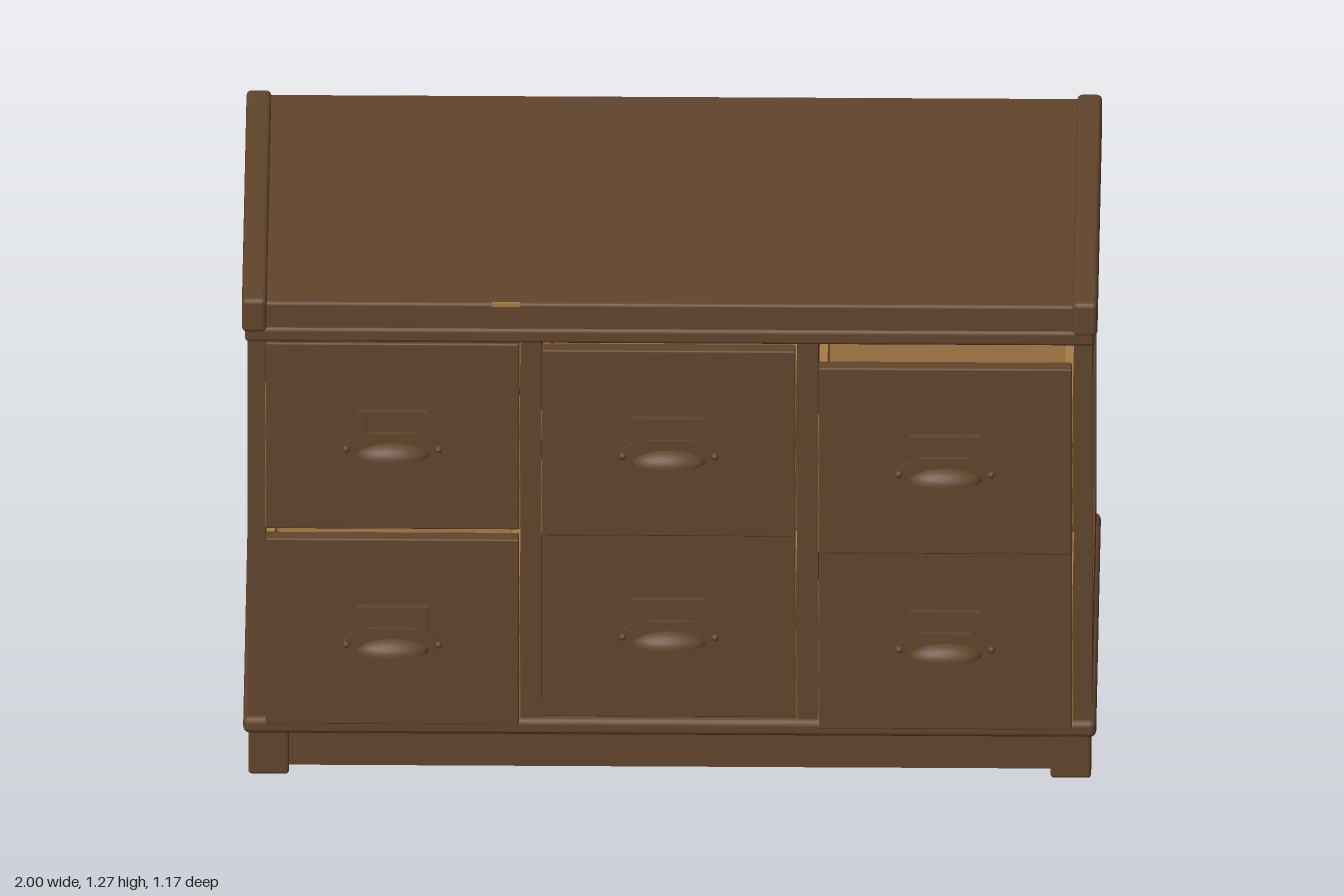
import * as THREE from 'three';
import { RoundedBoxGeometry } from 'three/addons/geometries/RoundedBoxGeometry.js';

const mat = (name, color, side = THREE.FrontSide) => {
  const m = new THREE.MeshStandardMaterial({ color, side });
  m.name = name;
  return m;
};

export function createModel() {
  const wood = mat('brown wood', 0x63462d, THREE.DoubleSide);
  const bare = mat('bare tan wood', 0xa87c45);
  const dark = mat('dark lining', 0x2a2612);
  const root = new THREE.Group();
  root.name = 'drawerCabinet';

  const add = (parent, name, geo, material) => {
    const mesh = new THREE.Mesh(geo, material);
    mesh.name = name;
    parent.add(mesh);
    return mesh;
  };
  // box given by its limits, optionally with rounded edges
  const box = (parent, name, [x0, x1], [y0, y1], [z0, z1], material = wood, r = 0) => {
    const s = [x1 - x0, y1 - y0, z1 - z0];
    const geo = r ? new RoundedBoxGeometry(...s, 2, r) : new THREE.BoxGeometry(...s);
    geo.translate((x0 + x1) / 2, (y0 + y1) / 2, (z0 + z1) / 2);
    return add(parent, name, geo, material);
  };
  // outline in (z, y) extruded from x0 to x1
  const slabX = (parent, name, shape, x0, x1, material) => {
    const geo = new THREE.ExtrudeGeometry(shape, { depth: x1 - x0, bevelEnabled: false });
    geo.rotateY(-Math.PI / 2);
    geo.translate(x1, 0, 0);
    return add(parent, name, geo, material);
  };
  const rect = (Type, a0, a1, b0, b1) => new Type([
    new THREE.Vector2(a0, b0), new THREE.Vector2(a1, b0),
    new THREE.Vector2(a1, b1), new THREE.Vector2(a0, b1)]);
  const mirrored = (s, a, b) => (s > 0 ? [a, b] : [-b, -a]);

  // plinth: feet, recessed skirt and base moulding
  for (const s of [-1, 1]) {
    box(root, 'footFront', mirrored(s, 0.89, 0.985), [0, 0.12], [0.335, 0.43], wood, 0.008);
    box(root, 'footBack', mirrored(s, 0.89, 0.985), [0, 0.12], [-0.575, -0.48], wood, 0.008);
    box(root, 'skirtSide', mirrored(s, 0.94, 0.972), [0.02, 0.12], [-0.49, 0.345]);
  }
  box(root, 'skirtFront', [-0.9, 0.9], [0.02, 0.12], [0.385, 0.417]);
  box(root, 'skirtBack', [-0.9, 0.9], [0.02, 0.12], [-0.562, -0.53]);
  box(root, 'baseMoulding', [-0.997, 0.997], [0.113, 0.157], [-0.583, 0.442], wood, 0.015);

  // carcass: framed sides with a sunken panel, back, dividers, shelf
  for (const s of [-1, 1]) {
    const frame = rect(THREE.Shape, -0.575, 0.43, 0.15, 1.165);
    frame.holes.push(rect(THREE.Path, -0.4, 0.265, 0.32, 0.99));
    slabX(root, 'sideFrame', frame, ...mirrored(s, 0.975, 0.987), wood);
    box(root, 'sidePanel', mirrored(s, 0.945, 0.976), [0.15, 1.165], [-0.57, 0.428]);
    box(root, 'divider', mirrored(s, 0.3, 0.347), [0.15, 1.165], [-0.56, 0.43]);
  }
  box(root, 'backPanel', [-0.98, 0.98], [0.15, 1.165], [-0.575, -0.55]);
  box(root, 'middleShelf', [-0.95, 0.95], [0.654, 0.661], [-0.56, 0.42]);

  // top: lip, slab, raised end rails, a worn chip on the front edge
  box(root, 'topLip', [-0.993, 0.993], [1.158, 1.197], [-0.577, 0.438], wood, 0.01);
  box(root, 'topSlab', [-0.95, 0.95], [1.19, 1.262], [-0.577, 0.432], wood, 0.008);
  for (const s of [-1, 1])
    box(root, 'endRail', mirrored(s, 0.942, 1), [1.185, 1.274], [-0.58, 0.442], wood, 0.012);
  box(root, 'wornChip', [-0.415, -0.35], [1.254, 1.263], [0.425, 0.433], bare);

  // label holder and cup pull, built on the plane z = 0
  const hardware = () => {
    const g = new THREE.Group();
    g.name = 'handle';
    const holder = rect(THREE.Shape, -0.083, 0.083, 0.248, 0.32);
    holder.holes.push(rect(THREE.Path, -0.06, 0.06, 0.262, 0.308));
    add(g, 'labelFrame', new THREE.ExtrudeGeometry(holder, { depth: 0.013, bevelEnabled: false }), wood);
    box(g, 'labelCard', [-0.062, 0.062], [0.26, 0.31], [0, 0.005]);
    const plate = new THREE.Shape([[-0.115, 0.21], [0.115, 0.21], [0.115, 0.228],
      [0.088, 0.25], [-0.088, 0.25], [-0.115, 0.228]].map(p => new THREE.Vector2(...p)));
    add(g, 'backPlate', new THREE.ExtrudeGeometry(plate, { depth: 0.008, bevelEnabled: false }), wood);
    const cup = new THREE.SphereGeometry(1, 20, 6, 0, Math.PI, 0, Math.PI / 2);
    cup.scale(0.085, 0.036, 0.04);
    cup.translate(0, 0.198, 0);
    add(g, 'cupPull', cup, wood);
    for (const s of [-1, 1]) {
      const screw = new THREE.SphereGeometry(0.009, 10, 6);
      screw.translate(s * 0.108, 0.219, 0.009);
      add(g, 'screw', screw, wood);
    }
    return g;
  };

  // one drawer, its bottom at y = 0 and its front face at z = 0
  const drawer = (w) => {
    const g = new THREE.Group();
    g.name = 'drawer';
    const h = w / 2;
    box(g, 'drawerFront', [-h, h], [0, 0.495], [-0.037, 0], wood, 0.004);
    // side boards with a ragged worn front edge
    const side = new THREE.Shape();
    side.moveTo(-0.9, 0.002);
    const edge = [-0.006, -0.008, -0.012, -0.02, -0.014, -0.011, -0.022, -0.03, -0.016, -0.013, -0.02, -0.037];
    edge.forEach((z, i) => side.lineTo(z, 0.002 + i * 0.35 / (edge.length - 1)));
    side.lineTo(-0.9, 0.352);
    for (const s of [-1, 1])
      slabX(g, 'drawerSide', side, ...mirrored(s, h - 0.018, h + 0.001), bare);
    box(g, 'drawerFloor', [-h + 0.015, h - 0.015], [0.004, 0.02], [-0.89, -0.03], dark);
    box(g, 'drawerBack', [-h + 0.015, h - 0.015], [0.004, 0.35], [-0.9, -0.885], bare);
    g.add(hardware());
    return g;
  };

  // two rows of three, each pulled out by its own amount
  const columns = [-0.648, -0.002, 0.645];
  const rows = [
    { y: 0.16, fronts: [0.475, 0.432, 0.485] },
    { y: 0.661, fronts: [0.437, 0.465, 0.545] },
  ];
  for (const { y, fronts } of rows)
    columns.forEach((x, i) => {
      const d = drawer(0.592);
      d.position.set(x, y, fronts[i]);
      root.add(d);
    });

  return root;
}
